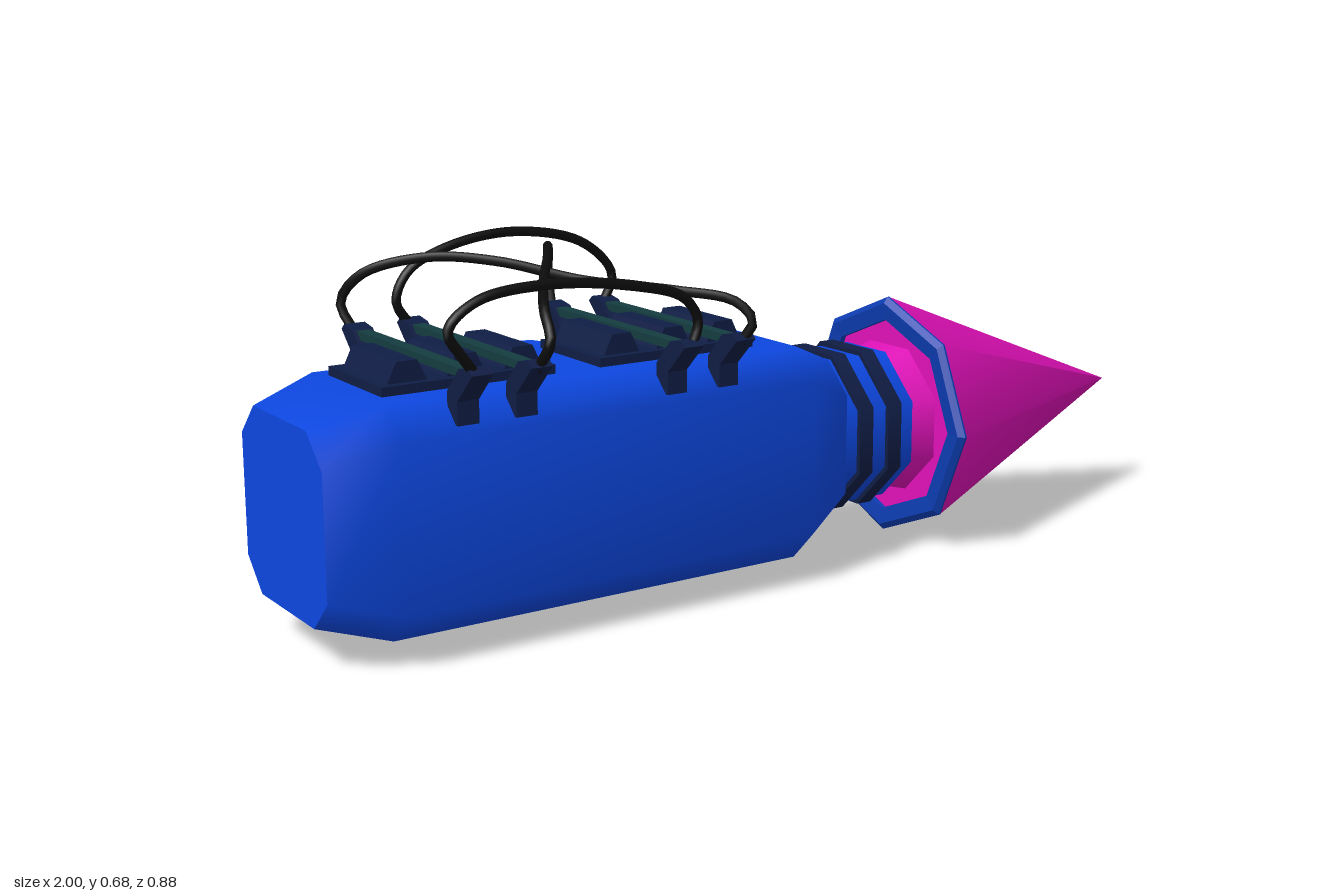
import * as THREE from 'three';

const CY = 0.2525, CZ = 0.1575; // main axis, parallel to x
const mat = (color, extra = {}) => new THREE.MeshStandardMaterial({ color, ...extra });

export function createModel() {
  const model = new THREE.Group();
  const blue = mat(0x0d47e0), magenta = mat(0xe010b8);
  const navy = mat(0x101d45), teal = mat(0x143c40), black = mat(0x0c0c0c);
  const navyFlat = mat(0x101d45, { flatShading: true });

  const add = (name, geometry, material, x = 0, y = 0, z = 0) => {
    const mesh = new THREE.Mesh(geometry, material);
    mesh.name = name;
    mesh.position.set(x, y, z);
    model.add(mesh);
    return mesh;
  };

  // Eight-sided drum along x; flat = flat sides (not corners) face up and sideways
  const drum = (name, x0, x1, r0, r1, flat, material, open = false) => {
    const k = flat ? 1 / Math.cos(Math.PI / 8) : 1;
    const g = new THREE.CylinderGeometry(r1 * k, r0 * k, x1 - x0, 8, 1, open, flat ? Math.PI / 8 : 0);
    g.rotateZ(-Math.PI / 2);
    return add(name, g, material, (x0 + x1) / 2, CY, CZ);
  };

  const shapeOf = pts => new THREE.Shape(pts.map(p => new THREE.Vector2(...p)));
  // Outline given as [z, y], extruded along x from x0 to x0 + depth
  const extrudeX = (shape, x0, depth) => {
    const g = new THREE.ExtrudeGeometry(shape, { depth, bevelEnabled: false });
    return g.rotateY(-Math.PI / 2).translate(x0 + depth, 0, 0);
  };

  // Hull: chamfered square sections [x, half width, half of flat side]
  const stations = [[-1, 0.175, 0.115], [-0.87, 0.2125, 0.153], [0, 0.2125, 0.153], [0.122, 0.162, 0.1]];
  const section = ([x, h, f]) => [[h, -f], [h, f], [f, h], [-f, h], [-h, f], [-h, -f], [-f, -h], [f, -h]]
    .map(([y, z]) => [x, CY + y, CZ + z]);
  const rings = stations.map(section);
  const buffer = (points, index) => {
    const g = new THREE.BufferGeometry();
    g.setAttribute('position', new THREE.Float32BufferAttribute(points.flat(), 3));
    g.setIndex(index);
    g.computeVertexNormals();
    return g;
  };
  const sides = [];
  for (let i = 0; i < rings.length - 1; i++) for (let j = 0; j < 8; j++) {
    const a = i * 8 + j, b = i * 8 + (j + 1) % 8;
    sides.push(a, b, a + 8, b, b + 8, a + 8);
  }
  add('hull', buffer(rings.flat(), sides), blue);
  const rearCap = [], frontCap = [];
  for (let j = 1; j < 7; j++) {
    rearCap.push(0, j + 1, j);
    frontCap.push(0, j, j + 1);
  }
  add('hullRearCap', buffer(rings[0], rearCap), blue);
  add('hullFrontCap', buffer(rings[3], frontCap), blue);

  // Neck with two dark bands
  drum('neck', 0.12, 0.3, 0.152, 0.152, true, blue);
  for (const x of [0.157, 0.23]) drum('neckBand', x, x + 0.034, 0.161, 0.161, true, navy);
  drum('noseCollar', 0.3, 0.37, 0.134, 0.152, true, magenta);

  // Nose cone with a rim around its recessed base
  drum('noseCone', 0.358, 1, 0.2525, 0, false, magenta, true);
  drum('noseBase', 0.362, 0.368, 0.24, 0.24, false, magenta);
  const rim = new THREE.LatheGeometry(
    [[0.205, 0.018], [0.205, 0], [0.24, -0.004], [0.2525, 0.006], [0.2525, 0.01]].map(p => new THREE.Vector2(...p)), 8);
  rim.rotateZ(-Math.PI / 2);
  add('noseRim', rim, mat(0x0d3cb0, { side: THREE.DoubleSide, flatShading: true }), 0.35, CY, CZ);

  // Wedge fin at the back with a framed recess facing the rear
  const wedge = shapeOf([[-0.19, -0.03], [-0.04, -0.03], [-0.05, -0.06], [-0.16, -0.425], [-0.17, -0.438], [-0.19, -0.44]]);
  const fin = new THREE.ExtrudeGeometry(wedge, { depth: 0.245, bevelEnabled: false });
  add('fin', fin.rotateX(Math.PI / 2).translate(0, 0.375, 0), blue);
  const frame = shapeOf([[-0.432, 0.13], [-0.03, 0.13], [-0.03, 0.375], [-0.432, 0.375], [-0.44, 0.367], [-0.44, 0.138]]);
  frame.holes.push(new THREE.Path([[-0.41, 0.157], [-0.41, 0.348], [-0.085, 0.348], [-0.085, 0.157]]
    .map(p => new THREE.Vector2(...p))));
  add('finFrame', extrudeX(frame, -0.22, 0.03), blue);
  add('finRecess', new THREE.BoxGeometry(0.004, 0.2, 0.335), teal, -0.191, 0.2525, -0.2475);

  // Two roof mounts, each a plate with three ridges
  for (const cx of [-0.683, -0.243]) {
    add('mountPlate', new THREE.BoxGeometry(0.345, 0.022, 0.22), navy, cx, 0.471, 0.155);
    for (const dx of [-0.115, 0, 0.115]) {
      const ridge = new THREE.ExtrudeGeometry(
        shapeOf([[-0.042, 0.475], [0.042, 0.475], [0.02, 0.52], [-0.02, 0.52]]), { depth: 0.18, bevelEnabled: false });
      add('mountRidge', ridge, navy, cx + dx, 0, 0.068);
    }
  }

  // Crossbars with a bent bracket at either end
  const bracket = [[0.405, 0.528], [0.37, 0.522], [0.325, 0.475], [0.325, 0.42], [0.362, 0.42], [0.362, 0.463], [0.418, 0.517]];
  for (const x of [-0.74, -0.625, -0.31, -0.195]) {
    add('crossbar', new THREE.BoxGeometry(0.026, 0.016, 0.48), teal, x, 0.512, CZ);
    for (const s of [1, -1]) {
      const outline = shapeOf(bracket.map(([z, y]) => [CZ + s * (z - CZ), y]));
      add('bracket', extrudeX(outline, x - 0.021, 0.042), navyFlat);
    }
  }

  // Cables looping between the brackets
  const cables = [
    [[-0.74, 0.51, 0.4], [-0.77, 0.55, 0.4], [-0.795, 0.595, 0.4], [-0.74, 0.64, 0.4], [-0.6, 0.656, 0.4],
      [-0.42, 0.636, 0.4], [-0.32, 0.605, 0.4], [-0.29, 0.56, 0.4], [-0.305, 0.51, 0.4]],
    [[-0.625, 0.51, -0.085], [-0.655, 0.56, -0.085], [-0.63, 0.615, -0.085], [-0.55, 0.655, -0.085], [-0.4, 0.675, -0.085],
      [-0.24, 0.64, -0.085], [-0.172, 0.57, -0.085], [-0.195, 0.51, -0.085]],
    [[-0.74, 0.51, -0.09], [-0.755, 0.565, -0.117], [-0.725, 0.62, -0.085], [-0.63, 0.655, 0.0], [-0.53, 0.65, 0.09],
      [-0.41, 0.618, 0.2], [-0.28, 0.602, 0.31], [-0.2, 0.585, 0.39], [-0.18, 0.55, 0.418], [-0.195, 0.51, 0.4]],
    [[-0.625, 0.51, 0.4], [-0.615, 0.56, 0.43], [-0.6, 0.607, 0.385], [-0.53, 0.632, 0.26], [-0.44, 0.652, 0.12],
      [-0.37, 0.655, 0.0], [-0.32, 0.62, -0.085], [-0.3, 0.57, -0.122], [-0.31, 0.51, -0.09]],
  ];
  for (const points of cables) {
    const curve = new THREE.CatmullRomCurve3(points.map(p => new THREE.Vector3(...p)));
    add('cable', new THREE.TubeGeometry(curve, 48, 0.0095, 8, false), black);
  }
  return model;
}
